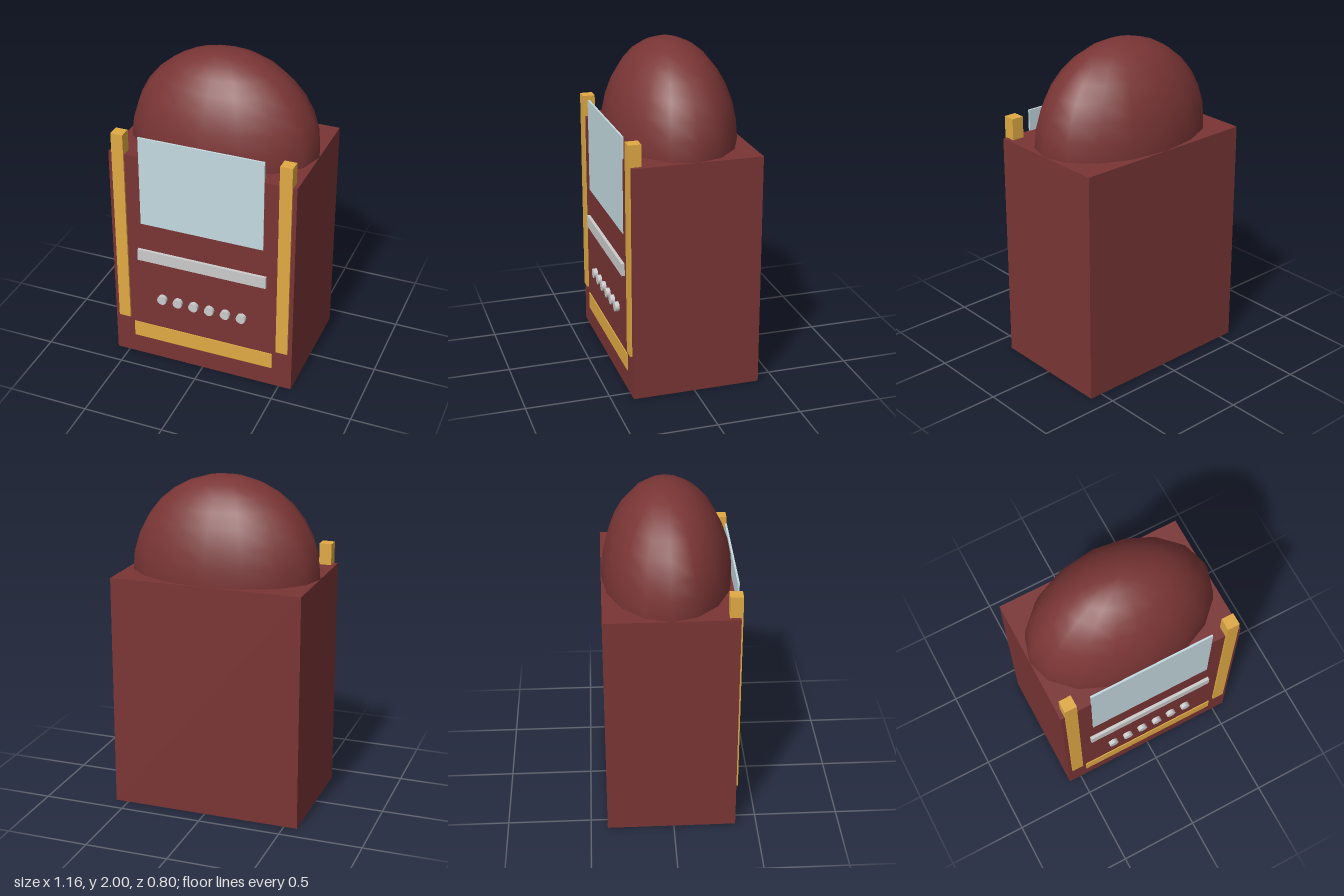
import * as THREE from 'three';

const paint = (color) => new THREE.MeshStandardMaterial({ color });

export function createModel() {
  const model = new THREE.Group();
  model.name = 'jukebox';
  const red = paint(0x7a3535);
  const gold = paint(0xe0aa44);
  const glass = paint(0xc4dae0);
  const grey = paint(0xcccccc);

  const add = (name, geometry, material, x, y, z) => {
    const mesh = new THREE.Mesh(geometry, material);
    mesh.name = name;
    mesh.position.set(x, y, z);
    model.add(mesh);
    return mesh;
  };

  // Box given by its width, vertical range and depth range
  const box = (name, material, x, width, y0, y1, z0, z1) =>
    add(name, new THREE.BoxGeometry(width, y1 - y0, z1 - z0), material, x, (y0 + y1) / 2, (z0 + z1) / 2);

  // Cabinet with an oval dome on top
  box('cabinet', red, 0, 1.16, 0, 1.42, -0.4, 0.373);
  const dome = new THREE.SphereGeometry(0.58, 16, 8, 0, Math.PI * 2, 0, Math.PI / 2);
  dome.scale(1, 1, 0.385 / 0.58);
  add('dome', dome, red, 0, 1.42, -0.014);

  // Gold trim: side posts and kick strip
  for (const [side, name] of [[1, 'leftPost'], [-1, 'rightPost']]) {
    box(name, gold, side * 0.517, 0.075, 0.265, 1.55, 0.31, 0.385);
  }
  box('kickStrip', gold, 0, 0.91, 0.13, 0.235, 0.35, 0.379);

  // Display window and the rail below it
  box('window', glass, 0, 0.775, 0.97, 1.55, 0.366, 0.378);
  box('rail', grey, 0, 0.82, 0.715, 0.79, 0.366, 0.392);

  // Row of round buttons
  const button = new THREE.CylinderGeometry(0.03, 0.03, 0.036, 12);
  button.rotateX(Math.PI / 2);
  for (let i = 0; i < 6; i++) {
    add(`button${i + 1}`, button, grey, (i - 2.5) * 0.103, 0.455, 0.381);
  }
  return model;
}
